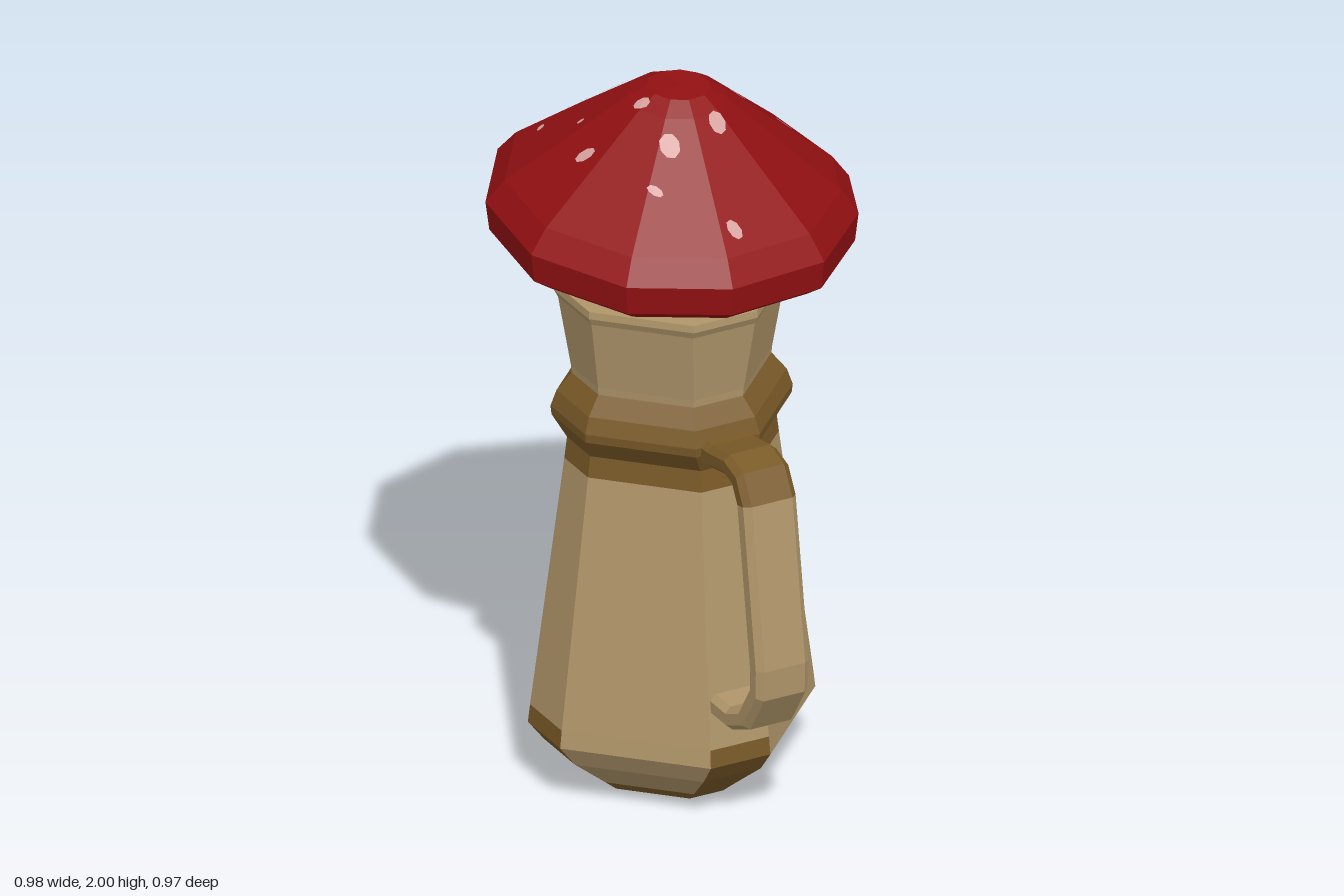
import * as THREE from 'three';

const flat = (color, name) => {
  const m = new THREE.MeshStandardMaterial({ color });
  m.name = name;
  return m;
};

// Skins a list of closed loops with flat faces; pick(i, j) gives the material index of each quad.
function loft(name, rings, materials, pick = () => 0, capStart = true, capEnd = true) {
  const faces = materials.map(() => []);
  const n = rings[0].length;
  const centre = (ring) => ring.reduce((s, p) => s.add(p), new THREE.Vector3()).divideScalar(n);
  for (let j = 0; j < n; j++) {
    const k = (j + 1) % n;
    for (let i = 0; i < rings.length - 1; i++) {
      const a = rings[i], b = rings[i + 1];
      faces[pick(i, j)].push(a[j], b[j], a[k], a[k], b[j], b[k]);
    }
    const last = rings[rings.length - 1];
    if (capStart) faces[0].push(centre(rings[0]), rings[0][j], rings[0][k]);
    if (capEnd) faces[0].push(centre(last), last[k], last[j]);
  }
  const geometry = new THREE.BufferGeometry().setFromPoints(faces.flat());
  let start = 0;
  faces.forEach((f, i) => {
    geometry.addGroup(start, f.length, i);
    start += f.length;
  });
  geometry.computeVertexNormals();
  const mesh = new THREE.Mesh(geometry, materials);
  mesh.name = name;
  return mesh;
}

// Square with cut corners: half width h, half length of each main side a
const octagon = ([y, h, a]) =>
  [[h, -a], [h, a], [a, h], [-a, h], [-h, a], [-h, -a], [-a, -h], [a, -h]]
    .map(([x, z]) => new THREE.Vector3(x, y, z));

export function createModel() {
  const model = new THREE.Group();
  const tan = flat(0xb0966a, 'tan clay');
  const brown = flat(0x7a5a28, 'brown glaze');
  const stemBrown = flat(0x6e4512, 'dark stem brown');
  const red = flat(0x921012, 'cap red');
  const pink = flat(0xd6a3a0, 'pale spots');

  // Tapered body: glazed foot corners and a glazed band under the collar
  const body = [
    [0, 0.17, 0.1], [0.03, 0.2, 0.12], [0.12, 0.295, 0.175], [0.18, 0.33, 0.205],
    [0.23, 0.325, 0.202], [0.94, 0.246, 0.154], [1.0, 0.24, 0.15],
  ].map(octagon);
  model.add(loft('body', body, [tan, brown],
    (i, j) => (i === 0 || i === 5 || (j % 2 === 1 && i < 4) ? 1 : 0)));

  // Collar
  const collar = [
    [1.0, 0.24, 0.15], [1.06, 0.282, 0.15], [1.085, 0.285, 0.15],
    [1.13, 0.27, 0.145], [1.18, 0.232, 0.13],
  ].map(octagon);
  model.add(loft('collar', collar, [brown]));

  // Flared neck with a lip and a raised inner seat
  const neck = [
    [1.17, 0.232, 0.13], [1.2, 0.235, 0.13], [1.4, 0.268, 0.138], [1.42, 0.277, 0.143],
    [1.44, 0.275, 0.142], [1.44, 0.195, 0.1], [1.47, 0.175, 0.09],
  ].map(octagon);
  model.add(loft('neck', neck, [tan]));

  // Stopper stem
  const stem = new THREE.Mesh(
    new THREE.CylinderGeometry(0.17, 0.17, 0.24, 11).toNonIndexed(), stemBrown);
  stem.geometry.computeVertexNormals();
  stem.position.y = 1.55;
  stem.name = 'stem';
  model.add(stem);

  // Slightly tilted, irregular eleven-sided cap
  const outline = [
    [0.47, -0.13], [0.46, 0.15], [0.28, 0.38], [0.02, 0.48], [-0.26, 0.41], [-0.45, 0.19],
    [-0.5, -0.09], [-0.37, -0.34], [-0.12, -0.49], [0.16, -0.48], [0.39, -0.31],
  ];
  const capRings = [
    [0.34, 1.62], [0.68, 1.595], [0.8, 1.535], [0.88, 1.537], [0.98, 1.57],
    [1, 1.65], [0.9, 1.715], [0.27, 1.968], [0.17, 2.0],
  ].map(([s, y]) => outline.map(([x, z]) => {
    const px = x * s + 0.025 * (1 - s), pz = z * s + 0.01 * (1 - s);
    return new THREE.Vector3(px, Math.min(y - 0.07 * px - 0.03 * pz, 2), pz);
  }));
  const cap = loft('cap', capRings, [red]);
  model.add(cap);

  // Spots: small patches dropped onto the cap from above
  const ray = new THREE.Raycaster();
  const down = new THREE.Vector3(0, -1, 0);
  const onCap = (x, z) => {
    ray.set(new THREE.Vector3(x, 3, z), down);
    const hit = ray.intersectObject(cap)[0];
    return hit.point.addScaledVector(hit.face.normal, 0.004);
  };
  const spots = new THREE.Group();
  spots.name = 'spots';
  [
    [-0.11, -0.345, 0.015, 0.008], [0.025, -0.3, 0.027, 0.012], [-0.19, -0.29, 0.015, 0.01],
    [-0.295, -0.2, 0.016, 0.016], [-0.185, -0.21, 0.013, 0.013], [0.24, -0.21, 0.025, 0.015],
    [-0.31, -0.12, 0.01, 0.012], [-0.18, -0.085, 0.042, 0.026], [0.14, -0.12, 0.025, 0.018],
    [-0.36, -0.02, 0.01, 0.012], [0.145, 0.075, 0.023, 0.025], [-0.225, 0.07, 0.01, 0.008],
    [-0.05, 0.1, 0.022, 0.016], [-0.175, 0.195, 0.027, 0.017], [0.05, 0.185, 0.028, 0.025],
    [0.25, 0.27, 0.022, 0.018], [0.04, 0.285, 0.022, 0.01],
  ].forEach(([x, z, rx, rz]) => {
    const points = [];
    const rim = (k) => {
      const t = (k / 8) * Math.PI * 2;
      return onCap(x + rx * Math.cos(t), z + rz * Math.sin(t));
    };
    for (let k = 0; k < 8; k++) points.push(onCap(x, z), rim(k + 1), rim(k));
    const geometry = new THREE.BufferGeometry().setFromPoints(points);
    geometry.computeVertexNormals();
    const spot = new THREE.Mesh(geometry, pink);
    spot.name = 'spot';
    spots.add(spot);
  });
  model.add(spots);

  // Handle: bevelled strap swept along a path, set on the front left corner
  const path = [
    [0.25, 1.065], [0.34, 1.07], [0.43, 1.085], [0.485, 1.07], [0.52, 1.01],
    [0.59, 0.56], [0.588, 0.49], [0.52, 0.385], [0.44, 0.35], [0.32, 0.35],
  ].map(([r, y]) => new THREE.Vector3(r, y, 0));
  const strap = [
    [0.032, -0.06], [0.032, 0.06], [0.016, 0.078], [-0.016, 0.078],
    [-0.032, 0.06], [-0.032, -0.06], [-0.016, -0.078], [0.016, -0.078],
  ];
  const sections = path.map((p, i) => {
    const before = path[Math.max(i - 1, 0)], after = path[Math.min(i + 1, path.length - 1)];
    const t = after.clone().sub(before).normalize();
    return strap.map(([u, w]) => new THREE.Vector3(p.x + t.y * u, p.y - t.x * u, w));
  });
  const handle = loft('handle', sections, [tan, brown], (i) => (i < 4 ? 1 : 0));
  handle.rotation.y = -Math.PI / 4;
  model.add(handle);

  return model;
}
